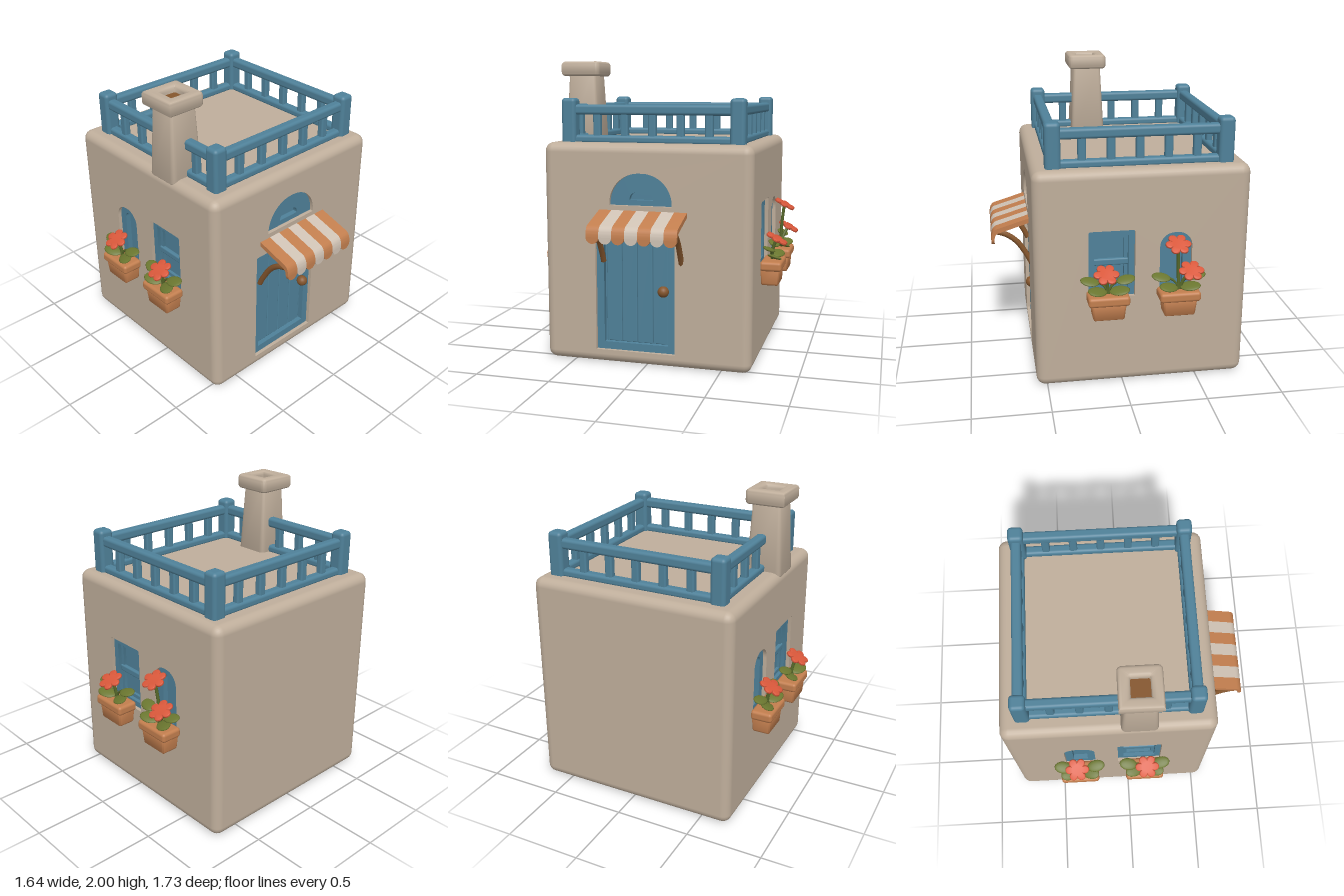
import * as THREE from 'three';
import { toCreasedNormals } from 'three/addons/utils/BufferGeometryUtils.js';
import { RoundedBoxGeometry } from 'three/addons/geometries/RoundedBoxGeometry.js';

const mat = (name, color) => Object.assign(new THREE.MeshStandardMaterial({ color }), { name });
const plaster = mat('plaster', 0xbfae9b), blue = mat('blue paint', 0x4f8199), clay = mat('clay', 0xc27e4e),
  cream = mat('cream cloth', 0xcfc2b4), leafGreen = mat('leaf green', 0x6a762f), stemGreen = mat('stem green', 0x586a2b),
  petal = mat('petal red', 0xd8573a), wood = mat('wood', 0x85562d);

function add(parent, name, geometry, material, x = 0, y = 0, z = 0) {
  const m = new THREE.Mesh(geometry, material);
  m.name = name;
  m.position.set(x, y, z);
  parent.add(m);
  return m;
}
function group(parent, name) {
  const g = new THREE.Group();
  g.name = name;
  parent.add(g);
  return g;
}
const rbox = (w, h, d, r = 0.02) => new RoundedBoxGeometry(w, h, d, 3, r);

// Narrow a geometry towards one end of its height
function taper(geo, h, bottom, top) {
  const p = geo.attributes.position;
  for (let i = 0; i < p.count; i++) {
    const s = THREE.MathUtils.lerp(bottom, top, p.getY(i) / h + 0.5);
    p.setX(i, p.getX(i) * s);
    p.setZ(i, p.getZ(i) * s);
  }
  geo.computeVertexNormals();
  return toCreasedNormals(geo, 0.9);
}

// Rectangle with rounded top corners; r = half the width gives an arch
function outline(Type, [x0, x1, y0, y1, r]) {
  const p = new Type();
  p.moveTo(x0, y0);
  p.lineTo(x1, y0);
  p.lineTo(x1, y1 - r);
  p.absarc(x1 - r, y1 - r, r, 0, Math.PI / 2, false);
  p.absarc(x0 + r, y1 - r, r, Math.PI / 2, Math.PI, false);
  p.closePath();
  return p;
}
const inset = ([x0, x1, y0, y1, r], d) => [x0 + d, x1 - d, y0 + d, y1 - d, Math.max(r - d, 0.005)];
function plate(outer, holes, depth) {
  const s = outline(THREE.Shape, outer);
  s.holes = holes.map(h => outline(THREE.Path, h));
  return toCreasedNormals(new THREE.ExtrudeGeometry(s, { depth, bevelEnabled: false, curveSegments: 12 }), 0.6);
}

const X0 = -0.82, X1 = 0.57, H = 1.465, Z = 0.70, R = 0.06, CX = (X0 + X1) / 2;

// Rounded shell; the flat parts of the three pierced sides are left out
function shellGeometry() {
  const w = X1 - X0, src = rbox(w, H, 2 * Z, R), p = src.attributes.position, n = src.attributes.normal;
  const pos = [], nor = [];
  for (let i = 0; i < p.count; i += 3) {
    const all = f => [i, i + 1, i + 2].every(f);
    if (all(j => p.getX(j) > w / 2 - 1e-4) || all(j => Math.abs(p.getZ(j)) > Z - 1e-4)) continue;
    for (let j = i; j < i + 3; j++) {
      pos.push(p.getX(j), p.getY(j), p.getZ(j));
      nor.push(n.getX(j), n.getY(j), n.getZ(j));
    }
  }
  const g = new THREE.BufferGeometry();
  g.setAttribute('position', new THREE.Float32BufferAttribute(pos, 3));
  g.setAttribute('normal', new THREE.Float32BufferAttribute(nor, 3));
  return g;
}

// Recessed frame with a pane behind it
function opening(parent, name, o, frame) {
  const g = group(parent, name);
  add(g, 'frame', plate(o, [inset(o, frame)], 0.035), blue, 0, 0, -0.06);
  add(g, 'pane', plate(o, [], 0.01), blue, 0, 0, -0.08);
  return g;
}

function flowerGeometry() {
  const pts = [];
  for (let i = 0; i < 72; i++) {
    const a = i / 72 * Math.PI * 2, r = 0.038 + 0.04 * Math.sqrt(Math.abs(Math.cos(3 * a)));
    pts.push(new THREE.Vector2(r * Math.cos(a), r * Math.sin(a)));
  }
  return toCreasedNormals(new THREE.ExtrudeGeometry(new THREE.Shape(pts),
    { depth: 0.008, bevelThickness: 0.004, bevelSize: 0.004, bevelSegments: 1 }), 0.9);
}

// Potted plant hung on a wall; flowers are [x, y, z] offsets from the pot
function plant(parent, u, flowers) {
  const g = group(parent, 'flowerPot');
  g.position.x = u;
  add(g, 'potBody', taper(rbox(0.22, 0.13, 0.13, 0.015), 0.13, 0.9, 1.04), clay, 0, 0.573, 0.058);
  add(g, 'potRim', rbox(0.265, 0.065, 0.145, 0.02), clay, 0, 0.642, 0.066);
  for (const s of [-1, 1]) {
    // lower broad leaves, then higher slim ones
    [[0.07, 0.7, 0.085, 1.1, 0.25, 0.35], [0.115, 0.76, 0.055, 1, 0.1, -0.2]].forEach(([x, y, z, k, tilt, yaw]) => {
      const leaf = add(g, 'leaf', new THREE.SphereGeometry(1, 16, 8), leafGreen, s * x, y, z);
      leaf.scale.set(0.062 * k, 0.012, 0.042 * k);
      leaf.rotation.set(0.35, -s * yaw, s * tilt);
      const curve = new THREE.QuadraticBezierCurve3(new THREE.Vector3(0, 0.66, 0.06),
        new THREE.Vector3(s * 0.01, y, 0.06), new THREE.Vector3(s * x, y, z));
      add(g, 'leafStem', new THREE.TubeGeometry(curve, 8, 0.008, 6), stemGreen);
    });
  }
  flowers.forEach(([x, y, z]) => {
    const curve = new THREE.QuadraticBezierCurve3(new THREE.Vector3(0, 0.64, 0.06),
      new THREE.Vector3(x * 0.2, (y + 0.66) / 2, 0.05), new THREE.Vector3(x, y, z));
    add(g, 'flowerStem', new THREE.TubeGeometry(curve, 10, 0.011, 8), stemGreen);
    add(g, 'flower', flowerGeometry(), petal, x, y, z).rotation.x = -1.08;
  });
}

// Two-window wall, used front and back (m mirrors x)
function windowWall(parent, name, m, flowersA, flowersB) {
  const g = group(parent, name);
  g.position.z = m * Z;
  if (m < 0) g.rotation.y = Math.PI;
  const side = (a, b) => m > 0 ? [a, b] : [-b, -a];
  const arch = [...side(-0.445, -0.235), 0.6, 1.04, 0.095], square = [...side(-0.075, 0.225), 0.62, 1.07, 0.015];
  add(g, 'wall', plate([...side(X0 + R, X1 - R), R, H - R, 0.001], [arch, square], 0.08), plaster, 0, 0, -0.08);
  opening(g, 'archedWindow', arch, 0.055);
  const w = opening(g, 'squareWindow', square, 0.04);
  const inner = inset(square, 0.04);
  add(w, 'sash', plate(inner, [inset(inner, 0.025)], 0.02), blue, 0, 0, -0.07);
  add(w, 'crossBar', rbox(0.23, 0.045, 0.03, 0.01), blue, m * 0.075, 0.845, -0.055);
  plant(g, m * -0.348, flowersA.map(([x, y, z]) => [m * x, y, z]));
  plant(g, m * 0.11, flowersB.map(([x, y, z]) => [m * x, y, z]));
}

function doorWall(parent) {
  const g = group(parent, 'doorWall');
  g.position.x = X1;
  g.rotation.y = Math.PI / 2;
  const door = [-0.34, 0.2, 0.09, 0.92, 0.01], fan = [-0.24, 0.18, 1.065, 1.275, 0.2];
  add(g, 'wall', plate([-Z + R, Z - R, R, H - R, 0.001], [door, fan], 0.08), plaster, 0, 0, -0.08);
  const d = opening(g, 'door', door, 0.05);
  for (let i = 0; i < 4; i++) add(d, 'plank', rbox(0.104, 0.73, 0.02, 0.006), blue, -0.229 + i * 0.106, 0.505, -0.065);
  add(d, 'knob', new THREE.SphereGeometry(0.037, 20, 14), wood, 0.12, 0.508, -0.012);
  const f = group(g, 'fanlight');
  add(f, 'frame', plate(fan, [[-0.11, 0.05, 1.1, 1.15, 0.045]], 0.035), blue, 0, 0, -0.06);
  add(f, 'pane', plate(fan, [], 0.01), blue, 0, 0, -0.08);

  // Striped awning with scalloped edge
  const a = group(g, 'awning'), w = 0.59 / 7;
  const s = new THREE.Shape();
  s.moveTo(-0.02, 1.04);
  s.lineTo(0.215, 0.968);
  s.quadraticCurveTo(0.25, 0.955, 0.252, 0.895);
  s.lineTo(0.23, 0.895);
  s.quadraticCurveTo(0.228, 0.93, 0.205, 0.938);
  s.lineTo(-0.02, 1.008);
  s.closePath();
  const strip = toCreasedNormals(new THREE.ExtrudeGeometry(s, { depth: w, bevelEnabled: false }), 0.6);
  const scallop = new THREE.CylinderGeometry(w / 2, w / 2, 0.022, 20, 1, false, -Math.PI / 2, Math.PI);
  scallop.rotateX(Math.PI / 2);
  for (let i = 0; i < 7; i++) {
    const color = i % 2 ? cream : clay, u = -0.31 + i * w;
    add(a, 'stripe', strip, color, u + w, 0, 0).rotation.y = -Math.PI / 2;
    add(a, 'scallop', scallop, color, u + w / 2, 0.896, 0.241);
  }
  const curve = new THREE.CatmullRomCurve3([[-0.02, 0.69], [0.015, 0.76], [0.08, 0.86], [0.15, 0.915], [0.225, 0.94]]
    .map(([z, y]) => new THREE.Vector3(0, y, z)));
  for (const u of [-0.29, 0.24]) add(a, 'bracket', new THREE.TubeGeometry(curve, 20, 0.019, 8), wood, u);
}

function railing(parent) {
  const g = group(parent, 'roofRailing');
  const xs = [-0.67, 0.43], zs = [-0.58, 0.555];
  for (const x of xs) for (const z of zs) add(g, 'post', rbox(0.1, 0.31, 0.1, 0.025), blue, x, 1.598, z);
  const mx = (xs[0] + xs[1]) / 2, mz = (zs[0] + zs[1]) / 2, lx = xs[1] - xs[0], lz = zs[1] - zs[0];
  for (const [y, h] of [[1.677, 0.068], [1.483, 0.055]]) {
    for (const z of zs) add(g, 'rail', rbox(lx, h, 0.066), blue, mx, y, z);
    for (const x of xs) add(g, 'rail', rbox(0.066, h, lz), blue, x, y, mz);
  }
  for (let i = 1; i <= 5; i++) {
    const t = i / 6;
    for (const z of zs) add(g, 'baluster', rbox(0.052, 0.18, 0.045, 0.012), blue, xs[0] + lx * t, 1.575, z);
    for (const x of xs) add(g, 'baluster', rbox(0.045, 0.18, 0.052, 0.012), blue, x, 1.575, zs[0] + lz * t);
  }
}

function chimney(parent) {
  const g = group(parent, 'chimney');
  g.position.set(0.07, 0, 0.575);
  add(g, 'shaft', taper(rbox(0.21, 0.52, 0.21, 0.03), 0.52, 1.17, 0.92), plaster, 0, 1.68, 0);
  const s = outline(THREE.Shape, [-0.135, 0.135, -0.135, 0.135, 0.03]);
  s.holes.push(outline(THREE.Path, [-0.06, 0.06, -0.06, 0.06, 0.01]));
  const cap = new THREE.ExtrudeGeometry(s,
    { depth: 0.05, bevelThickness: 0.025, bevelSize: 0.025, bevelOffset: -0.025, bevelSegments: 4 });
  add(g, 'cap', toCreasedNormals(cap, 0.9), plaster, 0, 1.925, 0).rotation.x = -Math.PI / 2;
  add(g, 'flue', new THREE.BoxGeometry(0.15, 0.02, 0.15), wood, 0, 1.945, 0);
}

export function createModel() {
  const model = new THREE.Group();
  model.name = 'house';
  add(model, 'shell', shellGeometry(), plaster, CX, H / 2, 0);
  windowWall(model, 'frontWall', 1, [[-0.015, 0.812, 0.085]], [[0.015, 0.812, 0.09]]);
  windowWall(model, 'backWall', -1, [[0.015, 0.985, 0.08], [-0.07, 0.81, 0.1]], [[0.015, 0.812, 0.09]]);
  doorWall(model);
  railing(model);
  chimney(model);
  return model;
}
